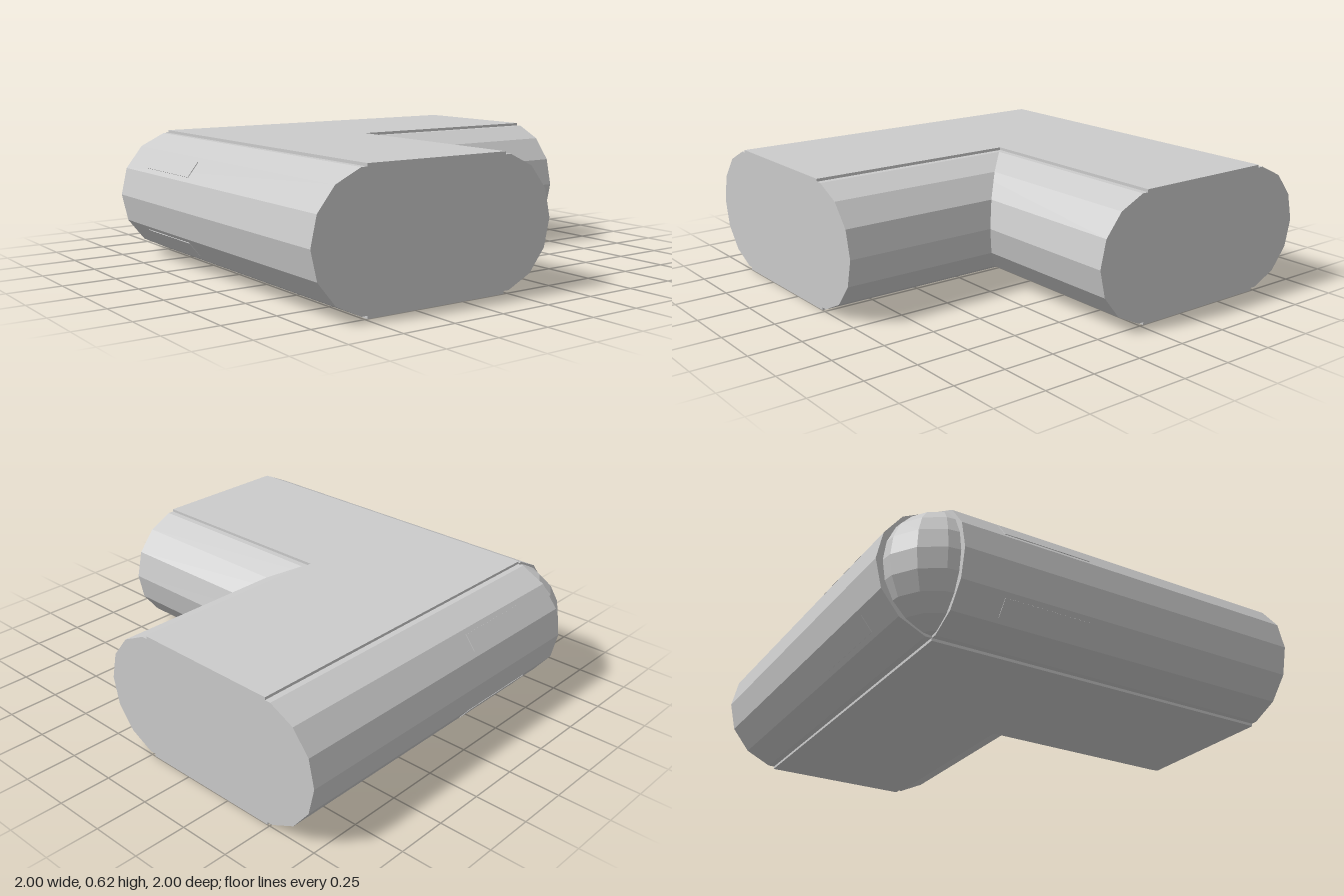
import * as THREE from 'three';

const R = 0.302, MID = 0.3075, HEIGHT = 0.615;
const SIDES = 14;
const OUTER = -0.698, INNER = -0.057; // axis positions of the rounded edges

export function createModel() {
  const model = new THREE.Group();
  const material = new THREE.MeshStandardMaterial({ color: 0xcccccc, flatShading: true });

  const add = (parent, name, geometry) => {
    const mesh = new THREE.Mesh(geometry, material);
    mesh.name = name;
    parent.add(mesh);
    return mesh;
  };

  // L-shaped core slab, slightly proud of the rounded edges
  const a = -0.737, b = -0.02;
  const outline = new THREE.Shape(
    [[a, a], [1, a], [1, b], [b, b], [b, 1], [a, 1]].map(([x, z]) => new THREE.Vector2(x, -z))
  );
  const slab = new THREE.ExtrudeGeometry(outline, { depth: HEIGHT, bevelEnabled: false });
  slab.rotateX(-Math.PI / 2);
  add(model, 'coreSlab', slab);

  // One arm along x: outer and inner rounded edges plus two flush strips
  const makeArm = () => {
    const arm = new THREE.Group();
    const edge = (name, z, start) => {
      const g = new THREE.CylinderGeometry(R, R, 1 - start, SIDES);
      g.rotateZ(Math.PI / 2);
      g.translate((1 + start) / 2, MID, z);
      add(arm, name, g);
    };
    edge('outerEdge', OUTER, -0.735);
    edge('innerEdge', INNER, -0.3);

    // Thin strips lie on the second facet above and below the middle
    const facet = 3 * Math.PI / SIDES;
    const apothem = R * Math.cos(Math.PI / SIDES);
    for (const s of [1, -1]) {
      const strip = add(arm, s > 0 ? 'upperStrip' : 'lowerStrip', new THREE.BoxGeometry(0.43, 0.085, 0.006));
      strip.position.set(-0.305, MID + s * apothem * Math.sin(facet), OUTER - apothem * Math.cos(facet));
      strip.rotation.x = s * facet;
    }
    return arm;
  };

  const backArm = makeArm();
  backArm.name = 'backArm';

  // The side arm is the back arm mirrored across the diagonal (x and z swapped)
  const sideArm = makeArm();
  sideArm.name = 'sideArm';
  sideArm.rotation.y = -Math.PI / 2;
  sideArm.scale.z = -1;
  model.add(backArm, sideArm);

  // Rounded outer corner
  const ball = new THREE.SphereGeometry(0.28, SIDES, 10);
  ball.scale(1, 1.05, 1);
  ball.rotateY(-Math.PI / 4);
  ball.translate(OUTER, MID, OUTER);
  add(model, 'cornerBall', ball);

  return model;
}
